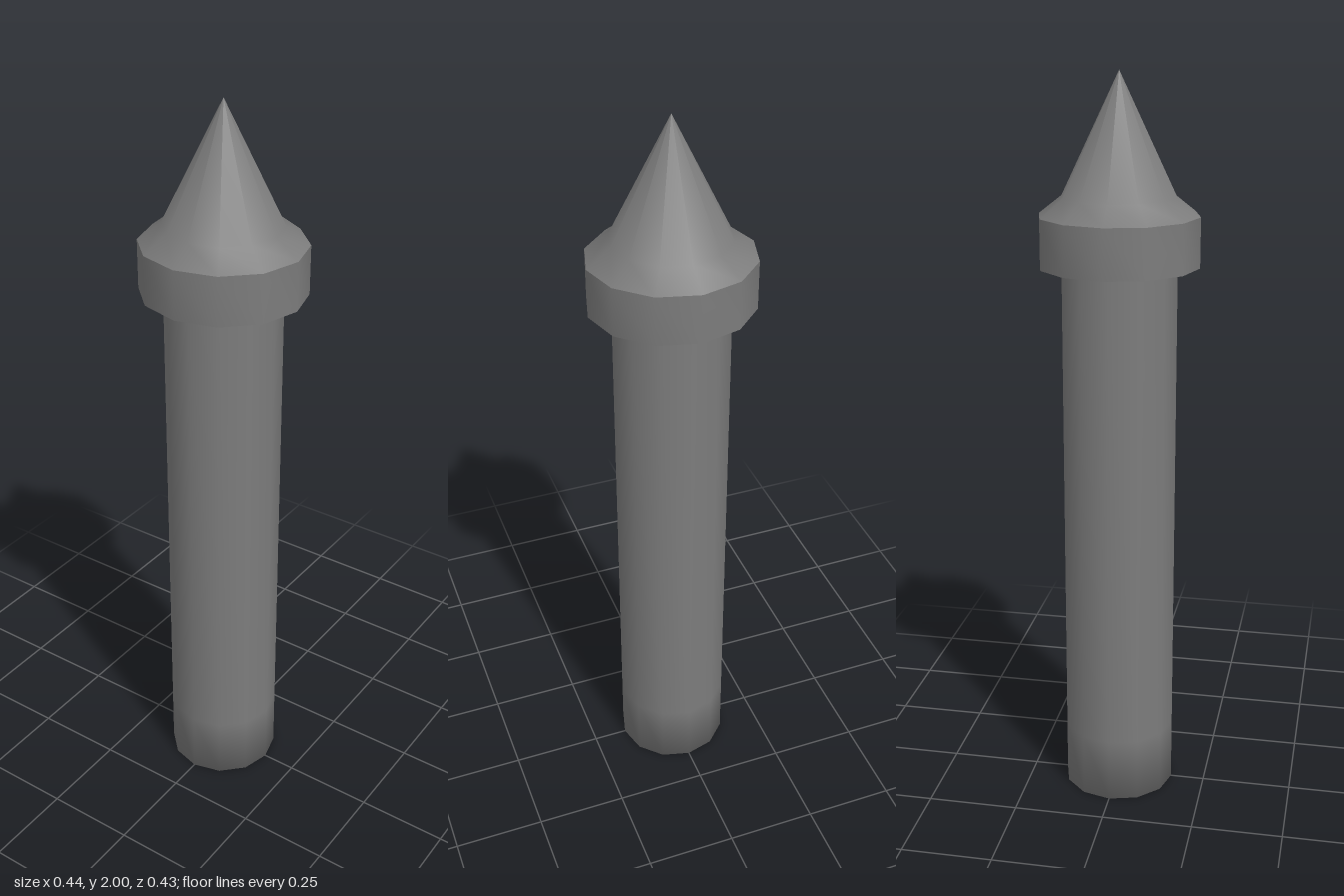
import * as THREE from 'three';
import { toCreasedNormals } from 'three/addons/utils/BufferGeometryUtils.js';

const SIDES = 12;
const material = new THREE.MeshStandardMaterial({ color: 0x7c7c7c });

// Twelve-sided turned part from [radius, height] pairs, listed bottom to top;
// edges sharper than the crease angle (degrees) stay hard
function turned(name, profile, crease) {
  const points = profile.map(([r, y]) => new THREE.Vector2(r, y));
  const geometry = toCreasedNormals(new THREE.LatheGeometry(points, SIDES), THREE.MathUtils.degToRad(crease));
  const mesh = new THREE.Mesh(geometry, material);
  mesh.name = name;
  return mesh;
}

export function createModel() {
  const group = new THREE.Group();
  group.name = 'spikedPost';

  // Straight shaft; its closed foot is shaded softly into the sides
  const shaft = turned('shaft', [[0, 0], [0.155, 0], [0.155, 0.18], [0.155, 1.505]], 100);

  // Collar with a sloped shoulder that runs into the pointed tip
  const head = turned('collarAndSpike', [
    [0.155, 1.505], [0.22, 1.505], [0.22, 1.637], [0.157, 1.685], [0, 2],
  ], 40);
  head.scale.z = 0.97; // slightly shallower than wide

  group.add(shaft, head);
  return group;
}
